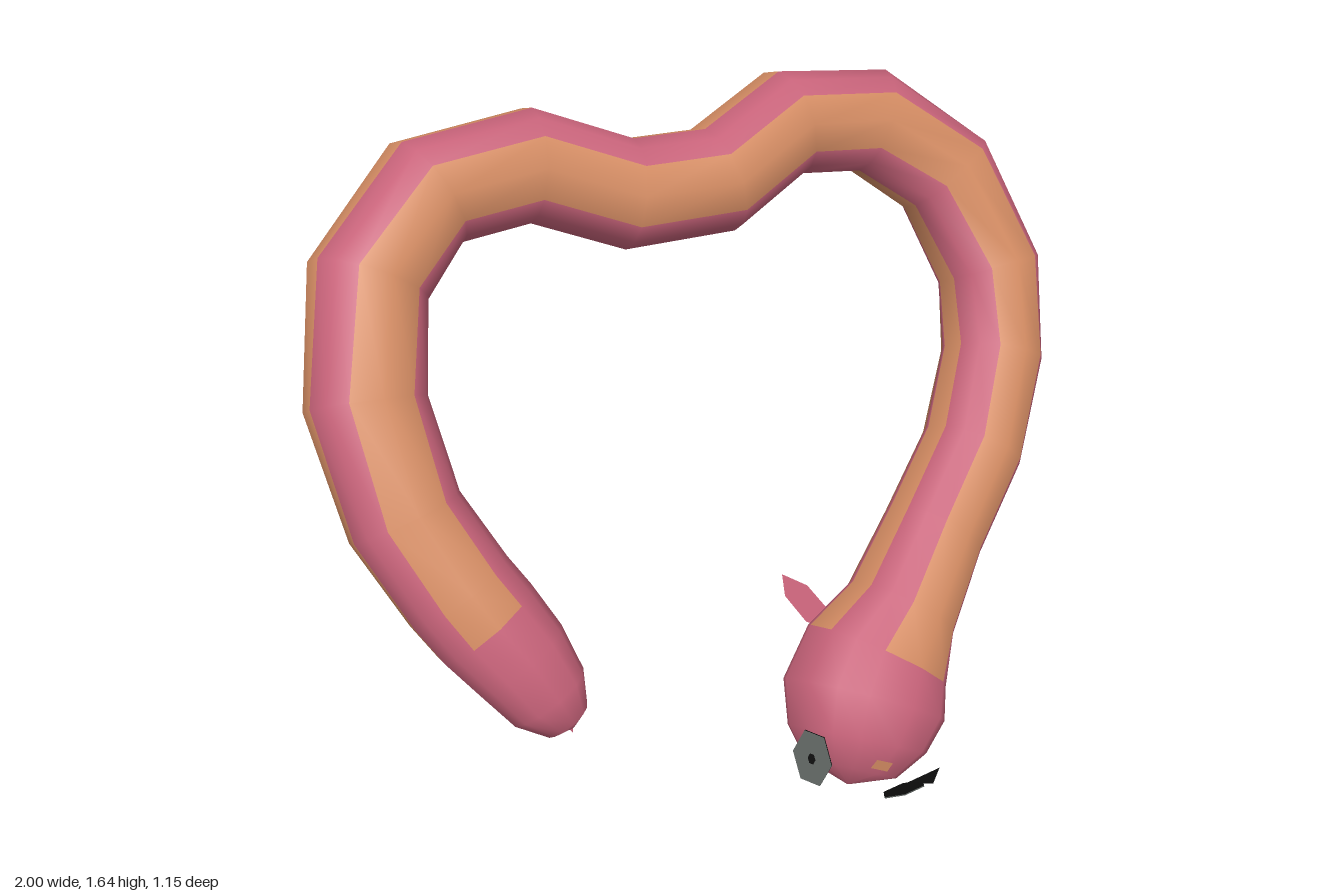
import * as THREE from 'three';

const mat = (name, color) => {
  const m = new THREE.MeshStandardMaterial({ color, side: THREE.DoubleSide });
  m.name = name;
  return m;
};
const V = (x, y, z) => new THREE.Vector3(x, y, z);

// Centre line from tail to head: x, y, radius. The curl lies in one tilted plane.
const path = [
  [-0.62, 0.43, 0.002], [-0.63, 0.45, 0.06], [-0.66, 0.51, 0.105], [-0.70, 0.60, 0.125], [-0.75, 0.69, 0.135],
  [-0.79, 0.765, 0.135], [-0.86, 0.935, 0.135], [-0.87, 1.165, 0.138], [-0.785, 1.39, 0.138],
  [-0.595, 1.53, 0.136], [-0.34, 1.54, 0.136], [-0.115, 1.44, 0.135], [0.13, 1.425, 0.135],
  [0.37, 1.51, 0.135], [0.615, 1.475, 0.136], [0.805, 1.32, 0.138], [0.865, 1.08, 0.138],
  [0.805, 0.89, 0.135], [0.665, 0.70, 0.135], [0.48, 0.55, 0.135], [0.32, 0.41, 0.15],
  [0.22, 0.32, 0.205], [0.15, 0.24, 0.225], [0.10, 0.165, 0.19], [0.06, 0.11, 0.125], [0.04, 0.08, 0.002],
];
const FIRST_STRIPE = 4, HEAD = 21;
const planeNormal = V(0, 0.507, 0.862);

// Ring angles follow the stripe edges, mirrored left and right
const half = [0, 32, 55, 78, 108, 116, 137, 158, 180];
const angles = [...half, ...half.slice(1, -1).reverse().map((a) => 360 - a)];
const isStripe = (deg) => {
  const a = deg > 180 ? 360 - deg : deg;
  return a < 32 || (a > 78 && a < 108) || (a > 116 && a < 158);
};

const centres = path.map(([x, y], i) => V(x, y, 0.49 - 0.588 * y - (i >= HEAD ? 0.015 : 0)));
const frames = centres.map((c, i) => {
  const next = centres[Math.min(i + 1, centres.length - 1)];
  const T = next.clone().sub(centres[Math.max(i - 1, 0)]).normalize();
  const up = planeNormal.clone().add(V(0, 0, 1));
  up.addScaledVector(T, -up.dot(T)).normalize();
  return { up, side: T.clone().cross(up) };
});

// Point on the skin at ring i and angle in degrees
function skin(i, deg, grow = 1) {
  const a = THREE.MathUtils.degToRad(deg), r = path[i][2] * grow;
  const flat = i >= HEAD ? 0.86 : 1;
  return centres[i].clone()
    .addScaledVector(frames[i].up, r * flat * Math.cos(a))
    .addScaledVector(frames[i].side, r * Math.sin(a));
}

function buildBody(materials) {
  const n = angles.length, pos = [], plain = [], striped = [];
  centres.forEach((_, i) => angles.forEach((a) => pos.push(...skin(i, a).toArray())));
  for (let i = 0; i < centres.length - 1; i++) {
    for (let j = 0; j < n; j++) {
      const k = (j + 1) % n;
      const mid = (angles[j] + (k ? angles[k] : 360)) / 2;
      const list = i >= FIRST_STRIPE && i < HEAD && isStripe(mid) ? striped : plain;
      const a = i * n + j, b = i * n + k, c = a + n, d = b + n;
      list.push(a, b, c, b, d, c);
    }
  }
  const g = new THREE.BufferGeometry();
  g.setAttribute('position', new THREE.Float32BufferAttribute(pos, 3));
  g.setIndex([...plain, ...striped]);
  g.addGroup(0, plain.length, 0);
  g.addGroup(plain.length, striped.length, 1);
  g.computeVertexNormals();
  return new THREE.Mesh(g, materials);
}

// Thin convex plate through a loop of points
function plate(name, points, material) {
  const g = new THREE.BufferGeometry().setFromPoints(points);
  const idx = [];
  for (let i = 1; i < points.length - 1; i++) idx.push(0, i, i + 1);
  g.setIndex(idx);
  g.computeVertexNormals();
  const m = new THREE.Mesh(g, material);
  m.name = name;
  return m;
}

// Ridge fin running along the back of the body
function buildRidge(material) {
  const pos = [], idx = [], last = HEAD - 1;
  for (let i = 1; i <= last; i++) {
    const r = path[i][2];
    const h = i === last ? 0.01 : 0.055;
    for (const d of [r * 0.85, r + h]) pos.push(...centres[i].clone().addScaledVector(planeNormal, -d).toArray());
    if (i < last) {
      const a = (i - 1) * 2;
      idx.push(a, a + 1, a + 2, a + 1, a + 3, a + 2);
    }
  }
  const g = new THREE.BufferGeometry();
  g.setAttribute('position', new THREE.Float32BufferAttribute(pos, 3));
  g.setIndex(idx);
  g.computeVertexNormals();
  const m = new THREE.Mesh(g, material);
  m.name = 'ridgeFin';
  return m;
}

// Hexagonal eye: grey face, dark backing and pupil
function buildEye(name, centre, normal, sx, sy, grey, black) {
  const eye = new THREE.Group();
  eye.name = name;
  [['backing', 1, -0.003, black], ['iris', 1, 0, grey], ['pupil', 0.2, 0.003, black]].forEach(([part, s, z, m]) => {
    const disc = new THREE.Mesh(new THREE.CircleGeometry(1, 6), m);
    disc.scale.set(sx * s, sy * s, 1);
    disc.position.z = z;
    disc.name = part;
    eye.add(disc);
  });
  eye.position.copy(centre);
  eye.lookAt(centre.clone().add(normal));
  return eye;
}

export function createModel() {
  const pink = mat('pinkSkin', 0xc8637a);
  const orange = mat('orangeStripe', 0xd48c63);
  const grey = mat('eyeGrey', 0x666c69);
  const black = mat('eyeBlack', 0x101010);
  const model = new THREE.Group();
  model.name = 'eel';

  const body = buildBody([pink, orange]);
  body.name = 'body';
  model.add(body, buildRidge(pink));

  // Tail tip flap
  model.add(plate('tailFlap', [V(-0.66, 0.47, 0.18), V(-0.60, 0.46, 0.2), V(-0.605, 0.38, 0.2)], pink));

  // Side fins behind the head
  const leftFin = [[0.34, 0.2], [0.38, 0.14], [0.46, 0.14], [0.5, 0.22], [0.46, 0.29], [0.38, 0.3]];
  model.add(plate('leftFin', leftFin.map(([x, y]) => V(x, y, 0.21 + (y - 0.22) * 0.5)), pink));
  const rightFin = [[0.11, 0.01], [0.17, 0.04], [0.19, 0.1], [0.18, 0.17], [0.1, 0.14], [0.08, 0.07]];
  model.add(plate('rightFin', rightFin.map(([x, z]) => V(x, 0.45 - z * 0.55 + (0.13 - x) * 0.4, z)), pink));

  // Eyes
  model.add(buildEye('rightEye', V(-0.06, 0.2, 0.41), V(-0.9, 0.1, 0.45), 0.055, 0.085, grey, black));
  model.add(buildEye('leftEye', V(0.155, 0.07, 0.512), V(0, -0.82, 0.57), 0.06, 0.06, grey, black));
  model.add(plate('leftEyeLash', [V(0.19, 0.04, 0.47), V(0.26, 0.1, 0.52), V(0.2, 0.115, 0.57)], black));

  // Small snout spot lying on the skin
  const spot = [[0.55, -6], [0.55, 12], [0.85, 14], [0.85, -8]].map(([t, a]) =>
    skin(23, a, 1.03).lerp(skin(24, a, 1.03), t));
  model.add(plate('snoutSpot', spot, orange));
  return model;
}
